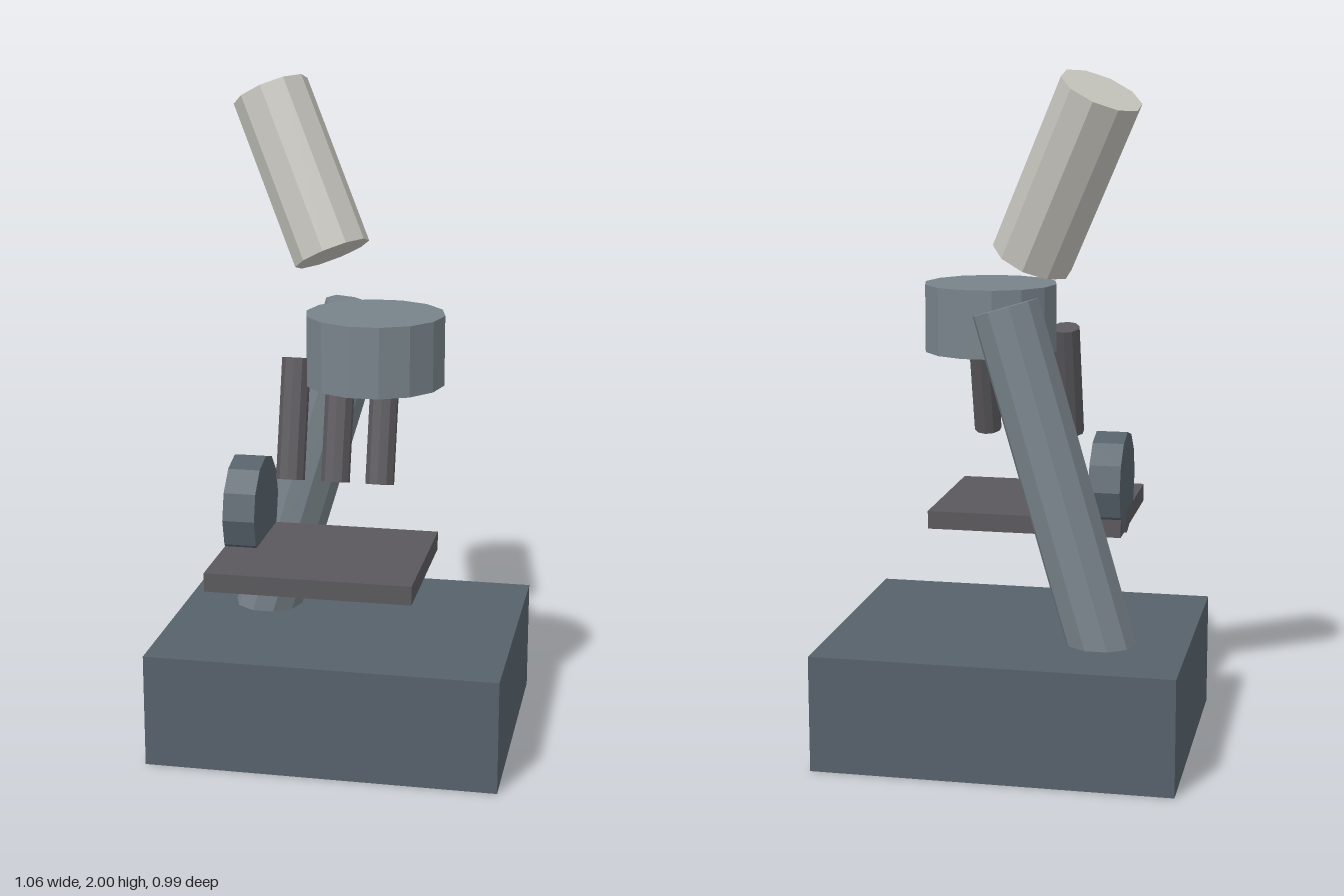
import * as THREE from 'three';

const mat = (color) => new THREE.MeshStandardMaterial({ color, flatShading: true });

export function createModel() {
  const model = new THREE.Group();
  model.name = 'microscope';

  const body = mat(0x56616a);
  const metal = mat(0x78838a);
  const dark = mat(0x5a585c);
  const pale = mat(0xc4c3bc);

  // Box given by its lower and upper corners
  function block(name, min, max, material) {
    const lo = new THREE.Vector3(...min);
    const hi = new THREE.Vector3(...max);
    const size = hi.clone().sub(lo);
    const mesh = new THREE.Mesh(new THREE.BoxGeometry(size.x, size.y, size.z), material);
    mesh.name = name;
    mesh.position.copy(lo).add(hi).multiplyScalar(0.5);
    model.add(mesh);
  }

  // Faceted cylinder running between two points
  function rod(name, from, to, radius, sides, material, turn = 0) {
    const a = new THREE.Vector3(...from);
    const b = new THREE.Vector3(...to);
    const axis = b.clone().sub(a);
    const geometry = new THREE.CylinderGeometry(radius, radius, axis.length(), sides, 1, false, turn);
    const mesh = new THREE.Mesh(geometry, material);
    mesh.name = name;
    mesh.position.copy(a).add(b).multiplyScalar(0.5);
    mesh.quaternion.setFromUnitVectors(new THREE.Vector3(0, 1, 0), axis.normalize());
    model.add(mesh);
  }

  // Base and specimen stage
  block('base', [-0.53, 0, -0.495], [0.53, 0.345, 0.35], body);
  block('stage', [-0.3, 0.615, -0.01], [0.295, 0.67, 0.49], dark);

  // Leaning arm, its foot sunk into the base
  rod('arm', [-0.284, 0.3, -0.193], [0.025, 1.32, -0.137], 0.102, 10, metal, Math.PI / 2);

  // Turret head
  rod('turret', [0.123, 1.155, 0.115], [0.123, 1.36, 0.115], 0.203, 14, metal, Math.PI / 2);

  // Row of three objectives tilted forward
  for (const x of [-0.103, 0.03, 0.16]) {
    rod('objective', [x, 0.885, 0.24], [x, 1.225, 0.147], 0.042, 10, dark);
  }

  // Focus knob
  rod('focusKnob', [-0.3, 0.757, 0.118], [-0.205, 0.757, 0.118], 0.157, 12, body);

  // Eyepiece tube floating above the arm
  rod('eyepiece', [-0.066, 1.473, -0.196], [-0.283, 1.947, -0.323], 0.12, 10, pale);

  return model;
}
